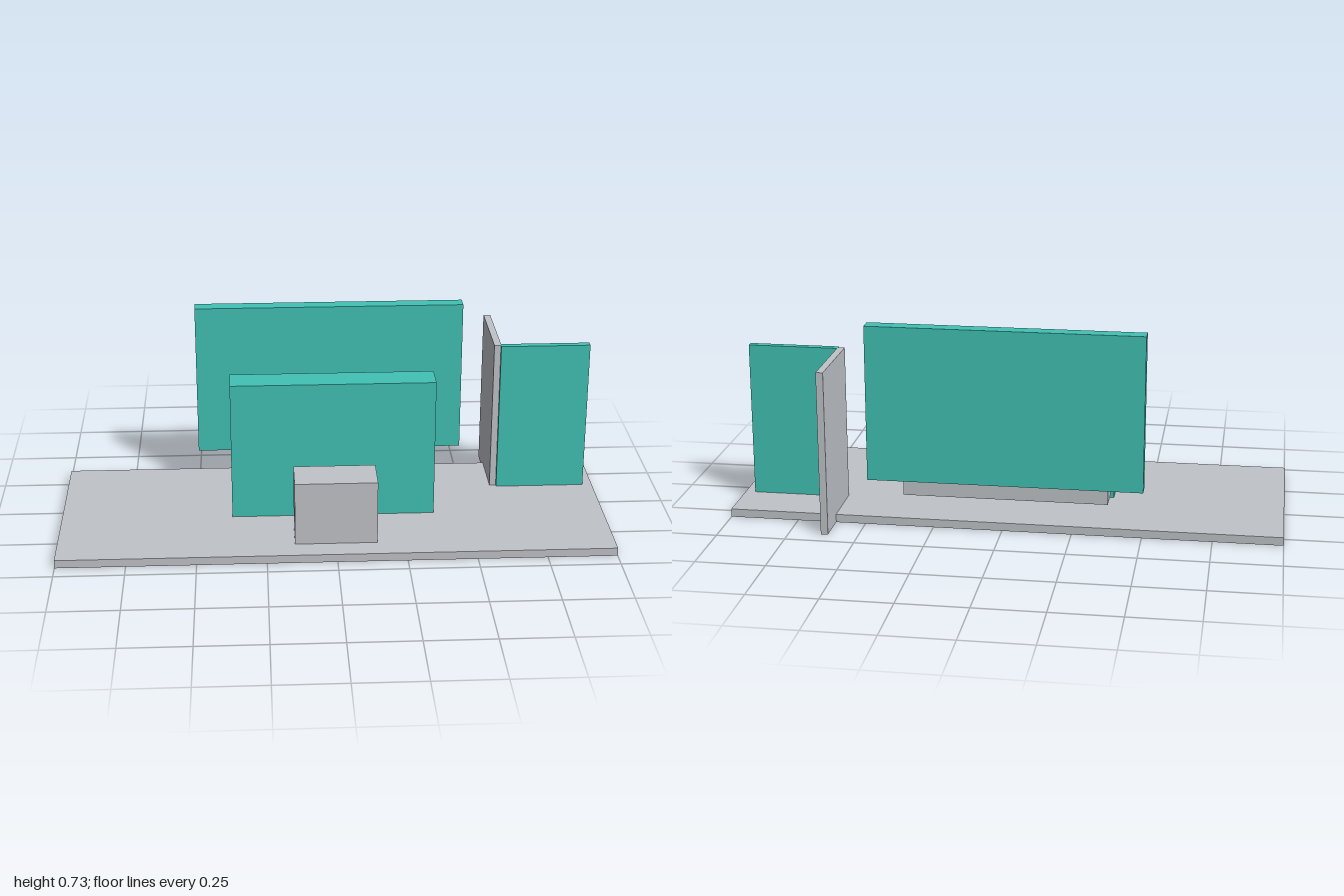
import * as THREE from 'three';

export function createModel() {
  const group = new THREE.Group();
  const teal = new THREE.MeshStandardMaterial({ name: 'teal', color: 0x41c2b4 });
  const grey = new THREE.MeshStandardMaterial({ name: 'grey', color: 0xc0c3c8 });

  // Box given by its extents along each axis
  const slab = (name, material, [x0, x1], [y0, y1], [z0, z1]) => {
    const mesh = new THREE.Mesh(new THREE.BoxGeometry(x1 - x0, y1 - y0, z1 - z0), material);
    mesh.position.set((x0 + x1) / 2, (y0 + y1) / 2, (z0 + z1) / 2);
    mesh.name = name;
    group.add(mesh);
  };

  // Platform; the standing parts are sunk slightly into it
  slab('platform', grey, [-1, 1], [0, 0.03], [-0.311, 0.437]);
  slab('frontBlock', grey, [-0.149, 0.147], [0.01, 0.266], [0.2, 0.351]);
  slab('counter', teal, [-0.373, 0.371], [0.01, 0.55], [0.008, 0.12]);

  // Raised back wall with a shelf beneath it
  slab('backWall', teal, [-0.5, 0.5], [0.152, 0.727], [-0.264, -0.209]);
  slab('shelf', grey, [-0.373, 0.371], [0.095, 0.146], [-0.246, -0.139]);

  // Corner screen at the side; its grey wing overhangs the platform's back edge
  slab('sideScreen', teal, [0.632, 0.964], [0.01, 0.601], [-0.121, -0.094]);
  slab('sideWing', grey, [0.608, 0.634], [0, 0.601], [-0.437, -0.107]);

  return group;
}
